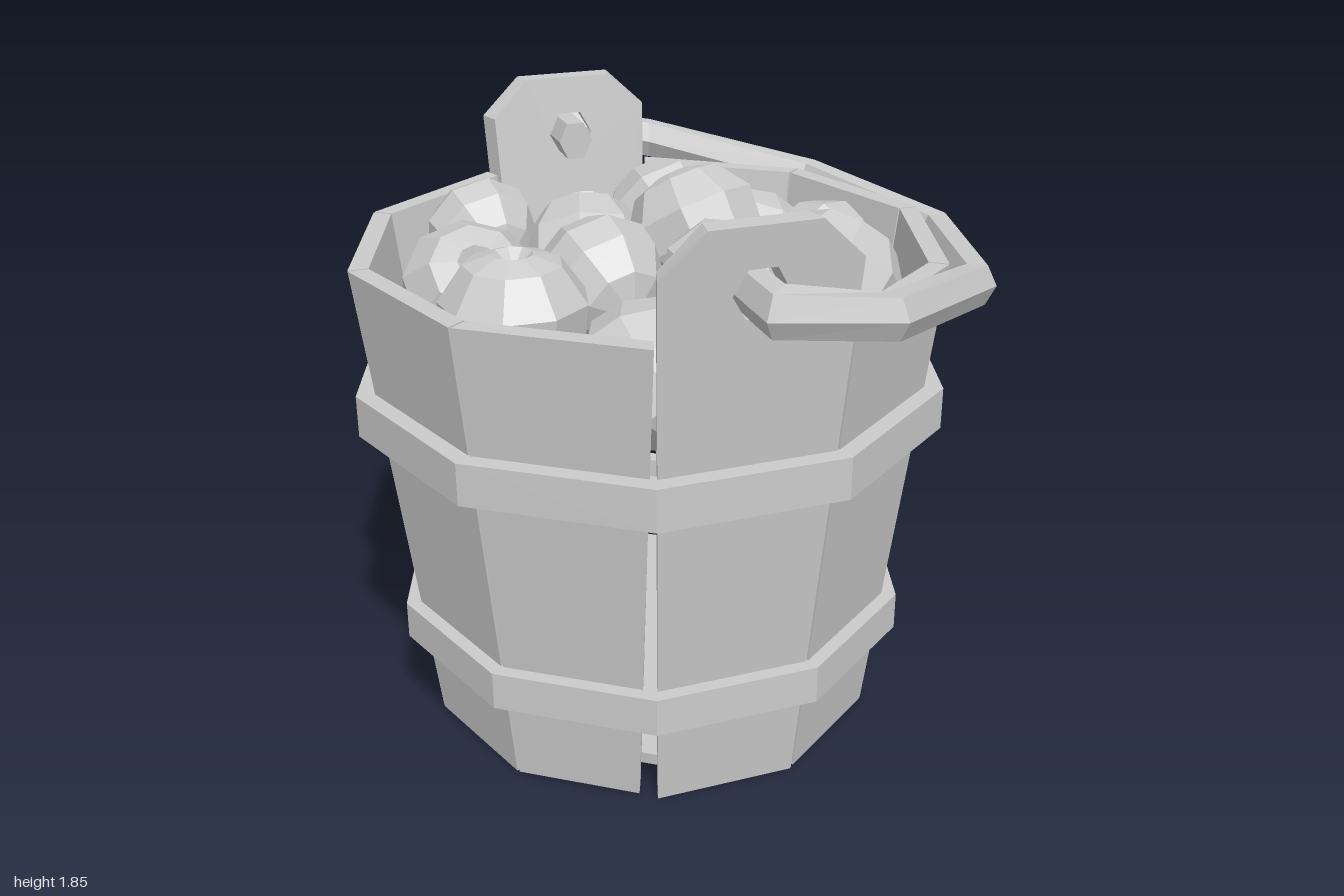
import * as THREE from 'three';

const SIDES = 10, STEP = Math.PI / 5, HALF = Math.PI / 10;
const CORNER = THREE.MathUtils.degToRad(9); // angle of the first bucket corner
const EAR = CORNER + 1.5 * STEP;            // angle of the first tall stave
const HANDLE_Y = 1.65;
const material = new THREE.MeshStandardMaterial({ color: 0xcccccc, flatShading: true });

function add(parent, geometry, name) {
  const mesh = new THREE.Mesh(geometry, material);
  mesh.name = name;
  parent.add(mesh);
  return mesh;
}

// Distance from the bucket axis to the outer face of a stave at height y
const apothem = (y) => (0.72 + 0.19 * y / 1.54) * Math.cos(HALF);

// Flared plank; the tall ones have cut corners and a hole for the handle.
// The gap narrows the foot of the plank on one side.
function staveGeometry(tall, gap = 0) {
  const t = tall ? 0.07 : 0.058;
  const halfWidth = (y) => apothem(y) * Math.tan(HALF) - 0.004;
  const y0 = tall ? 0 : 0.01;
  const side = tall
    ? [[halfWidth(y0), y0], [halfWidth(1.73), 1.73], [0.157, 1.85]]
    : [[halfWidth(y0), y0], [halfWidth(1.54), 1.54]];
  const left = side.map(([x, y]) => [-x, y]).reverse();
  const right = side.map(([x, y], i) => [i ? x : x - gap, y]);
  const shape = new THREE.Shape([...right, ...left].map(([x, y]) => new THREE.Vector2(x, y)));
  if (tall) {
    const hole = new THREE.Path();
    for (let i = 0; i < 6; i++) {
      const a = -i * Math.PI / 3;
      const x = 0.08 * Math.cos(a), y = HANDLE_Y + 0.012 + 0.08 * Math.sin(a);
      if (i) hole.lineTo(x, y); else hole.moveTo(x, y);
    }
    hole.closePath();
    shape.holes.push(hole);
  }
  const geo = new THREE.ExtrudeGeometry(shape, { depth: t, bevelEnabled: false });
  // Lean the plank outward and narrow its inner face
  const p = geo.attributes.position;
  for (let i = 0; i < p.count; i++) {
    const a = apothem(p.getY(i)), d = a - t + p.getZ(i);
    p.setX(i, p.getX(i) * d / a);
    p.setZ(i, d);
  }
  geo.computeVertexNormals();
  return geo;
}

// Ten-sided hoop with a rectangular section
function hoopGeometry(inner, outer, y0, y1) {
  const pts = [[inner, y0], [outer, y0], [outer, y1], [inner, y1], [inner, y0]];
  return new THREE.LatheGeometry(pts.map(([x, y]) => new THREE.Vector2(x, y)), SIDES, CORNER);
}

// Hexagonal bar swept along a mitred path: x along the ears, z away from them
function handleGeometry() {
  const half = [[0.75, 0], [0.985, 0], [0.955, 0.335], [0.58, 0.8]];
  const path = [...half, [0, 0.985], ...half.map(([u, v]) => [-u, v]).reverse()]
    .map(([u, v]) => new THREE.Vector2(u, v));
  const section = [[0.057, 0], [0.029, 0.06], [-0.029, 0.06], [-0.057, 0], [-0.029, -0.06], [0.029, -0.06]];
  const n = section.length, last = path.length - 1;
  const positions = [], index = [];
  const normal = (a, b) => {
    const d = b.clone().sub(a).normalize();
    return new THREE.Vector2(-d.y, d.x);
  };
  path.forEach((p, i) => {
    const before = normal(path[Math.max(i - 1, 0)], path[Math.max(i, 1)]);
    const after = normal(path[Math.min(i, last - 1)], path[Math.min(i + 1, last)]);
    const m = before.clone().add(after).normalize();
    m.divideScalar(Math.max(m.dot(before), 0.6));
    for (const [s, h] of section) {
      positions.push(p.x + m.x * s, HANDLE_Y - 0.205 * p.y + h, -(p.y + m.y * s));
    }
  });
  for (let i = 0; i < last; i++) {
    for (let j = 0; j < n; j++) {
      const a = i * n + j, b = i * n + (j + 1) % n;
      index.push(a, b, a + n, b, b + n, a + n);
    }
  }
  for (let j = 1; j < n - 1; j++) {
    index.push(0, j + 1, j, last * n, last * n + j, last * n + j + 1);
  }
  const geo = new THREE.BufferGeometry();
  geo.setAttribute('position', new THREE.Float32BufferAttribute(positions, 3));
  geo.setIndex(index);
  geo.computeVertexNormals();
  return geo;
}

// Faceted apple of unit radius with a dimple at the top and bottom
function appleGeometry() {
  const profile = [[0, -0.78], [0.25, -0.9], [0.64, -0.72], [0.95, -0.22], [1, 0.25],
    [0.66, 0.74], [0.28, 0.87], [0, 0.62]];
  return new THREE.LatheGeometry(profile.map(([x, y]) => new THREE.Vector2(x, y)), 9);
}

export function createModel() {
  const model = new THREE.Group();
  model.name = 'appleBucket';

  const bucket = new THREE.Group();
  bucket.name = 'bucket';
  bucket.position.set(-0.06, 0, 0.06);
  model.add(bucket);

  // Two mirrored sets of five staves: one with a gap, one tall, three plain
  const plain = staveGeometry(false);
  const set = [staveGeometry(false, 0.05), staveGeometry(true), plain, plain, plain];
  for (let k = 0; k < SIDES; k++) {
    const stave = add(bucket, set[k % 5], k % 5 === 1 ? 'tallStave' : 'stave');
    stave.rotation.y = CORNER + (k + 0.5) * STEP;
  }

  // Hoops and recessed floor
  add(bucket, hoopGeometry(0.755, 0.817, 0.3, 0.42), 'lowerHoop');
  add(bucket, hoopGeometry(0.84, 0.918, 1.02, 1.15), 'upperHoop');
  const floor = add(bucket, new THREE.CylinderGeometry(0.69, 0.685, 0.04, SIDES, 1, false, CORNER), 'floor');
  floor.position.y = 0.12;

  // Handle lying against the back of the rim
  const handle = add(bucket, handleGeometry(), 'handle');
  handle.rotation.y = EAR - Math.PI / 2;

  // Apples: x, z, radius, top height, then the direction of the dimple
  const apples = [
    [-0.15, -0.50, 0.215, 1.54, 0.3, -0.6, -0.5],
    [-0.40, -0.39, 0.21, 1.61, -0.85, 0.45, -0.2],
    [0.22, -0.43, 0.18, 1.59, -0.9, 0.4, 0],
    [0.43, -0.20, 0.225, 1.65, -0.05, 0.7, -0.7],
    [-0.60, -0.20, 0.20, 1.51, 0, 1, 0],
    [-0.38, 0.01, 0.22, 1.59, 0.5, -0.6, 0.4],
    [-0.01, -0.10, 0.21, 1.73, -0.55, 0.83, 0],
    [0.31, 0.13, 0.19, 1.68, 0.2, 0.95, -0.25],
    [0.57, 0.12, 0.17, 1.54, 0.5, -0.8, 0.2],
    [-0.64, 0.22, 0.18, 1.62, -0.92, 0.25, -0.3],
    [-0.07, 0.25, 0.20, 1.63, -0.92, 0.3, -0.25],
    [-0.40, 0.48, 0.21, 1.59, 0.62, 0.7, 0.35],
    [-0.02, 0.64, 0.215, 1.65, 0, 1, 0],
    [0.35, 0.46, 0.225, 1.54, -0.5, -0.6, 0.5],
  ];
  const pile = new THREE.Group();
  pile.name = 'apples';
  model.add(pile);
  const geo = appleGeometry(), up = new THREE.Vector3(0, 1, 0);
  apples.forEach(([x, z, r, top, ax, ay, az]) => {
    const apple = add(pile, geo, 'apple');
    apple.position.set(x, top - 0.91 * r, z);
    apple.scale.setScalar(r);
    apple.quaternion.setFromUnitVectors(up, new THREE.Vector3(ax, ay, az).normalize());
  });

  return model;
}
